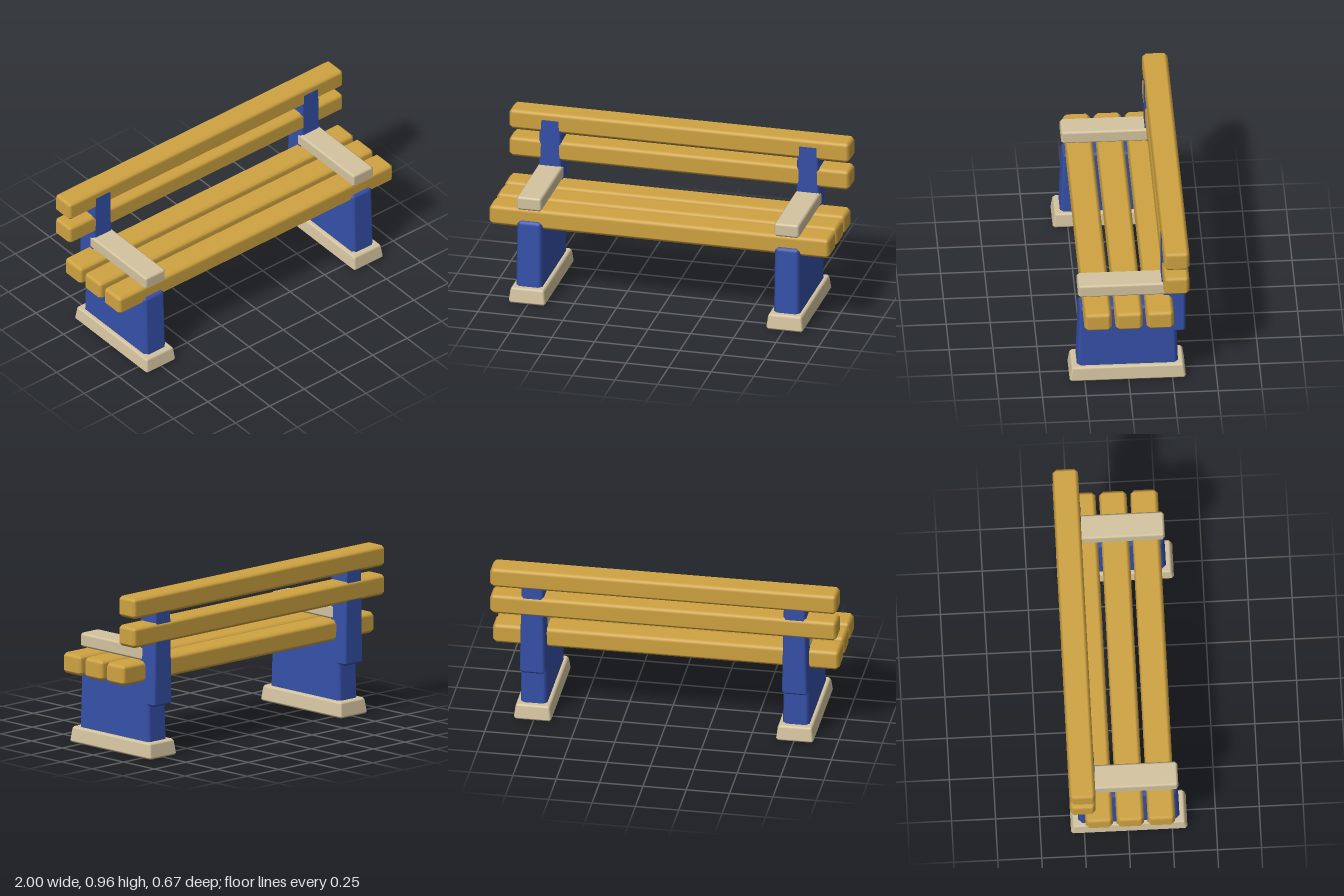
import * as THREE from 'three';
import { RoundedBoxGeometry } from 'three/addons/geometries/RoundedBoxGeometry.js';

// Chamfered box with soft normals; the top is scaled by topX, topZ about the centre line
function bevelBox([w, h, d], bevel, topX = 1, topZ = 1) {
  const geo = new RoundedBoxGeometry(w, h, d, 1, bevel);
  const pos = geo.attributes.position, nor = geo.attributes.normal;
  const p = new THREE.Vector3(), n = new THREE.Vector3();
  for (let i = 0; i < pos.count; i++) {
    p.fromBufferAttribute(pos, i);
    n.fromBufferAttribute(nor, i);
    // flatten the rounding to a straight chamfer
    const sum = Math.abs(n.x) + Math.abs(n.y) + Math.abs(n.z);
    p.addScaledVector(n, bevel * (1 / sum - 1));
    // taper, keeping normals square to the sloped sides
    const t = p.y / h + 0.5;
    const sx = 1 + (topX - 1) * t, sz = 1 + (topZ - 1) * t;
    n.y -= (p.x * (topX - 1) / h / sx) * n.x + (p.z * (topZ - 1) / h / sz) * n.z;
    n.x /= sx;
    n.z /= sz;
    n.normalize();
    pos.setXYZ(i, p.x * sx, p.y, p.z * sz);
    nor.setXYZ(i, n.x, n.y, n.z);
  }
  return geo;
}

function material(name, color) {
  const m = new THREE.MeshStandardMaterial({ color });
  m.name = name;
  return m;
}

export function createModel() {
  const bench = new THREE.Group();
  bench.name = 'bench';
  const wood = material('golden wood', 0xcfa341);
  const blue = material('blue paint', 0x3550a8);
  const sand = material('sand stone', 0xd4c4a0);

  // Part spanning y0..y1 and z0..z1, centred on x
  function add(name, mat, x, w, [y0, y1], [z0, z1], bevel, topX, topZ) {
    const mesh = new THREE.Mesh(bevelBox([w, y1 - y0, z1 - z0], bevel, topX, topZ), mat);
    mesh.name = name;
    mesh.position.set(x, (y0 + y1) / 2, (z0 + z1) / 2);
    bench.add(mesh);
  }

  // Seat slats, front to back
  for (const z of [0.182, 0.005, -0.172]) {
    add('seatSlat', wood, 0, 2, [0.437, 0.557], [z - 0.078, z + 0.078], 0.022);
  }
  // Backrest slats
  for (const y of [0.731, 0.9]) {
    add('backSlat', wood, 0, 2, [y - 0.06, y + 0.06], [-0.338, -0.193], 0.021);
  }

  // Matching end supports
  for (const [side, s] of [['left', 1], ['right', -1]]) {
    const x = s * 0.756;
    add(side + 'Foot', sand, x, 0.219, [0, 0.093], [-0.328, 0.338], 0.013, 0.9, 0.96);
    add(side + 'Leg', blue, x, 0.154, [0.06, 0.487], [-0.284, 0.294], 0.022, 0.96, 0.95);
    add(side + 'BackPost', blue, x, 0.15, [0.3, 0.932], [-0.327, -0.19], 0.016, 0.83, 0.985);
    add(side + 'Armrest', sand, x, 0.148, [0.558, 0.64], [-0.231, 0.286], 0.014);
  }
  return bench;
}
